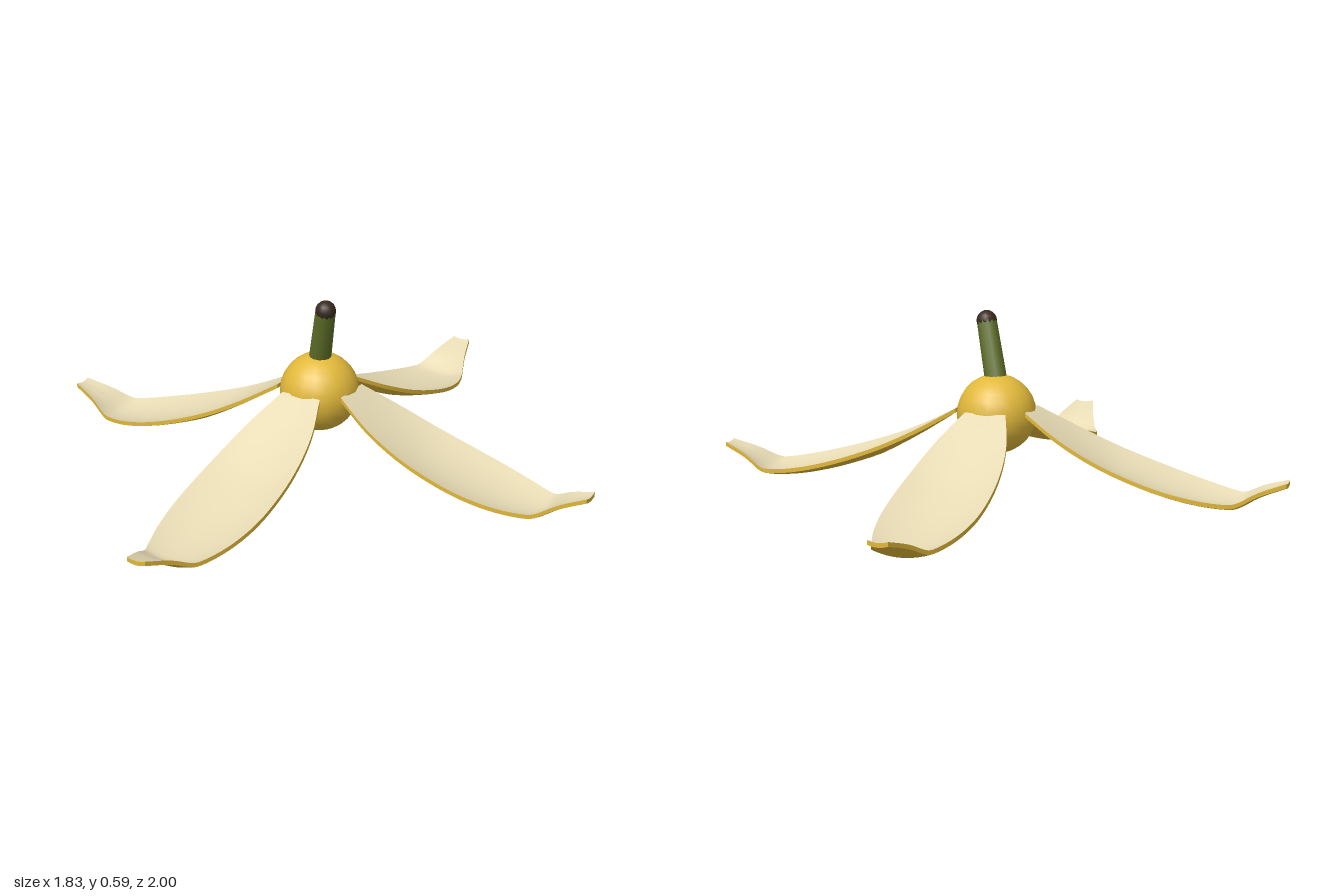
import * as THREE from 'three';
import { toCreasedNormals } from 'three/addons/utils/BufferGeometryUtils.js';

const material = (name, color) => Object.assign(new THREE.MeshStandardMaterial({ color }), { name });

// Peel strip profile: distance from centre, rim height, half width
const profile = new THREE.CatmullRomCurve3([
  [0.12, 0.28, 0.07], [0.24, 0.212, 0.117], [0.37, 0.15, 0.143], [0.5, 0.102, 0.153],
  [0.61, 0.069, 0.149], [0.71, 0.046, 0.13], [0.79, 0.034, 0.102], [0.82, 0.035, 0.089],
  [0.89, 0.07, 0.06], [0.975, 0.1, 0.032],
].map(p => new THREE.Vector3(...p)));

const ROWS = 36, COLS = 12, THICK = 0.014;

// Point on the strip: flat at the root, then slightly cupped; t runs root to tip, v across
function stripPoint(t, v, stretch, drop) {
  const p = profile.getPoint(t);
  const r = 0.12 + (p.x - 0.12) * stretch;
  const cup = 0.18 * Math.min(1, t * 4) * p.z;
  return [r, p.y - cup * (1 - v * v) - drop, p.z * v];
}

// Surface through a grid of points
function gridSurface(rows, cols, point, flip) {
  const positions = [], index = [];
  for (let i = 0; i <= rows; i++)
    for (let j = 0; j <= cols; j++) positions.push(...point(i, j));
  for (let i = 0; i < rows; i++)
    for (let j = 0; j < cols; j++) {
      const a = i * (cols + 1) + j, b = a + 1, c = a + cols + 1, d = c + 1;
      index.push(...(flip ? [a, c, b, b, c, d] : [a, b, c, b, d, c]));
    }
  const geometry = new THREE.BufferGeometry();
  geometry.setAttribute('position', new THREE.Float32BufferAttribute(positions, 3));
  geometry.setIndex(index);
  return toCreasedNormals(geometry, 0.7);
}

function createStrip(stretch, skin, flesh) {
  const strip = new THREE.Group();
  const inner = gridSurface(ROWS, COLS,
    (i, j) => stripPoint(i / ROWS, j / COLS * 2 - 1, stretch, 0), false);
  // The outer skin has one extra ring on every side, folded up to close the rim
  const outer = gridSurface(ROWS + 2, COLS + 2, (i, j) => {
    const t = THREE.MathUtils.clamp((i - 1) / ROWS, 0, 1);
    const v = THREE.MathUtils.clamp((j - 1) / COLS * 2 - 1, -1, 1);
    const folded = i === 0 || j === 0 || i === ROWS + 2 || j === COLS + 2;
    return stripPoint(t, v, stretch, folded ? 0 : THICK);
  }, true);
  const innerMesh = new THREE.Mesh(inner, flesh);
  innerMesh.name = 'innerPeel';
  const outerMesh = new THREE.Mesh(outer, skin);
  outerMesh.name = 'outerPeel';
  strip.add(innerMesh, outerMesh);
  return strip;
}

export function createModel() {
  const skin = material('yellow skin', 0xe2b93b);
  const flesh = material('cream flesh', 0xe8dcb5);
  const green = material('green stem', 0x607029);
  const brown = material('dark brown', 0x38291f);

  const model = new THREE.Group();
  model.name = 'bananaPeel';

  // Four strips around the crown, alternately short and long
  for (let k = 0; k < 4; k++) {
    const strip = createStrip(k % 2 ? 1.11 : 1, skin, flesh);
    strip.name = 'peelStrip' + (k + 1);
    strip.rotation.y = -0.394 + k * Math.PI / 2;
    model.add(strip);
  }

  // Round crown
  const crown = new THREE.Mesh(new THREE.SphereGeometry(0.132, 20, 14), skin);
  crown.name = 'crown';
  crown.position.y = 0.258;
  model.add(crown);

  // Leaning stem with a dark rounded end
  const base = new THREE.Vector3(0, 0.36, 0), top = new THREE.Vector3(0.028, 0.56, 0.062);
  const lean = top.clone().sub(base);
  const stem = new THREE.Mesh(new THREE.CylinderGeometry(0.033, 0.037, lean.length(), 12), green);
  stem.name = 'stem';
  stem.position.copy(base).lerp(top, 0.5);
  stem.quaternion.setFromUnitVectors(new THREE.Vector3(0, 1, 0), lean.normalize());
  const tip = new THREE.Mesh(new THREE.SphereGeometry(0.034, 14, 10), brown);
  tip.name = 'stemTip';
  tip.position.copy(top);
  model.add(stem, tip);

  return model;
}
